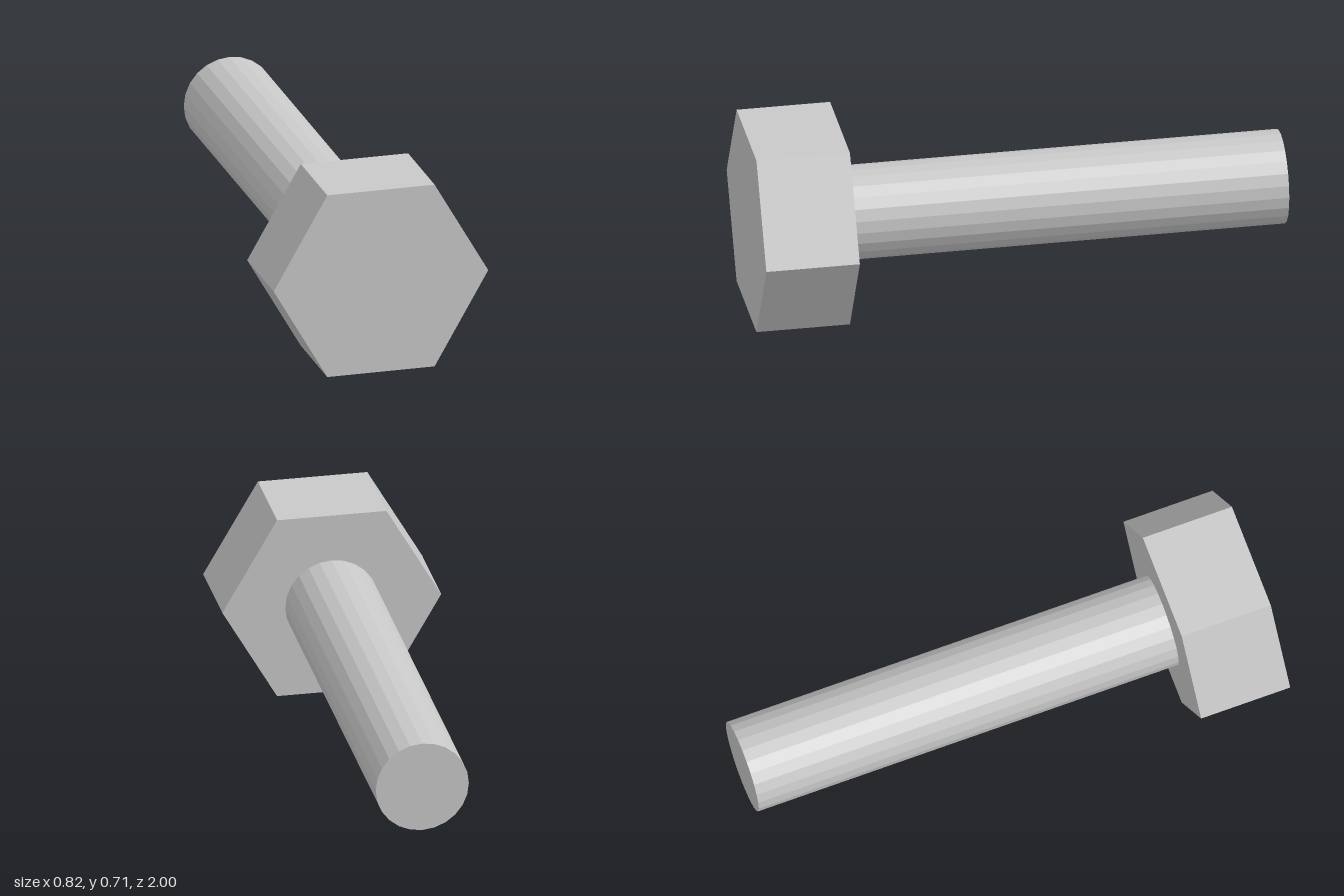
import * as THREE from 'three';

const HEAD_RADIUS = 0.4115;
const AXIS_Y = HEAD_RADIUS * Math.cos(Math.PI / 6); // the bolt lies on one flat of its head
const HEAD_BACK = 0.65;

export function createModel() {
  const steel = new THREE.MeshStandardMaterial({ color: 0xc8c8c8, flatShading: true });
  steel.name = 'steel grey';

  const model = new THREE.Group();
  model.name = 'hexBolt';

  // Prism lying along z between two depths
  const addPrism = (name, radius, sides, zBack, zFront, turn = 0) => {
    const geometry = new THREE.CylinderGeometry(radius, radius, zFront - zBack, sides, 1, false, turn);
    geometry.rotateX(Math.PI / 2);
    const mesh = new THREE.Mesh(geometry, steel);
    mesh.name = name;
    mesh.position.set(0, AXIS_Y, (zBack + zFront) / 2);
    model.add(mesh);
  };

  // Hexagonal head with corners pointing left and right
  addPrism('head', HEAD_RADIUS, 6, HEAD_BACK, 1, Math.PI / 6);
  // Plain faceted shank
  addPrism('shank', 0.175, 24, -1, HEAD_BACK);

  return model;
}
